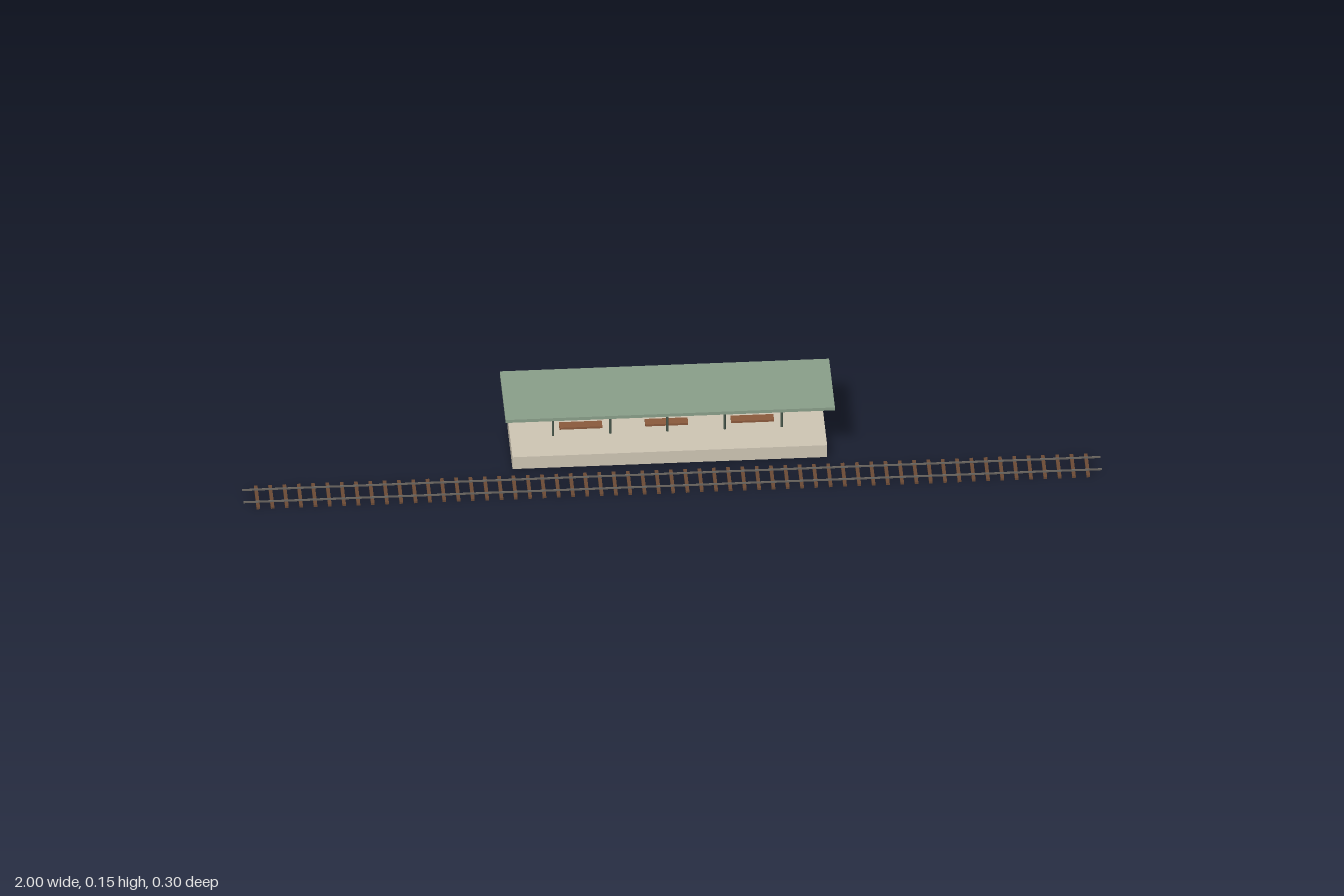
import * as THREE from 'three';

const paint = (color) => new THREE.MeshStandardMaterial({ color });

export function createModel() {
  const model = new THREE.Group();
  const concrete = paint(0xcfc6b4);
  const roofGreen = paint(0x8a9f8a);
  const postGreen = paint(0x4a5a4e);
  const wood = paint(0x8b5a3c);
  const sleeperWood = paint(0x6b4a35);
  const steel = paint(0x6b6660);

  // Adds a box resting on height y, centred on x and z
  const box = (parent, name, material, [w, h, d], [x, y, z]) => {
    const mesh = new THREE.Mesh(new THREE.BoxGeometry(w, h, d), material);
    mesh.name = name;
    mesh.position.set(x, y + h / 2, z);
    parent.add(mesh);
  };
  const group = (name) => {
    const g = new THREE.Group();
    g.name = name;
    model.add(g);
    return g;
  };

  const centreZ = -0.0513;
  const floorY = 0.0365;
  const roofY = 0.1455;

  // Platform slab and flat canopy
  box(model, 'platform', concrete, [0.733, 0.0333, 0.1667], [0, floorY - 0.0333, centreZ]);
  box(model, 'canopyRoof', roofGreen, [0.767, 0.0083, 0.2], [0, roofY, centreZ]);

  // Single row of slim canopy posts
  const posts = group('canopyPosts');
  const postGeometry = new THREE.CylinderGeometry(0.0028, 0.0028, roofY - floorY, 10);
  for (let i = -2; i <= 2; i++) {
    const post = new THREE.Mesh(postGeometry, postGreen);
    post.name = 'canopyPost';
    post.position.set(i * 0.1333, (roofY + floorY) / 2, centreZ);
    posts.add(post);
  }

  // Low benches behind the posts
  const benches = group('benches');
  for (const x of [-0.2267, 0, 0.2267].map((v) => v * 0.882)) {
    box(benches, 'bench', wood, [0.1, 0.0054, 0.0233], [x, floorY, -0.0845]);
  }

  // Track: sleepers with two rails on top
  const track = group('track');
  const trackZ = 0.1065;
  for (let i = -29; i <= 29; i++) {
    box(track, 'sleeper', sleeperWood, [0.0083, 0.0055, 0.09], [i / 30, 0, trackZ]);
  }
  for (const side of [-1, 1]) {
    box(track, 'rail', steel, [2, 0.0042, 0.0025], [0, 0.0055, trackZ + side * 0.025]);
  }

  return model;
}
